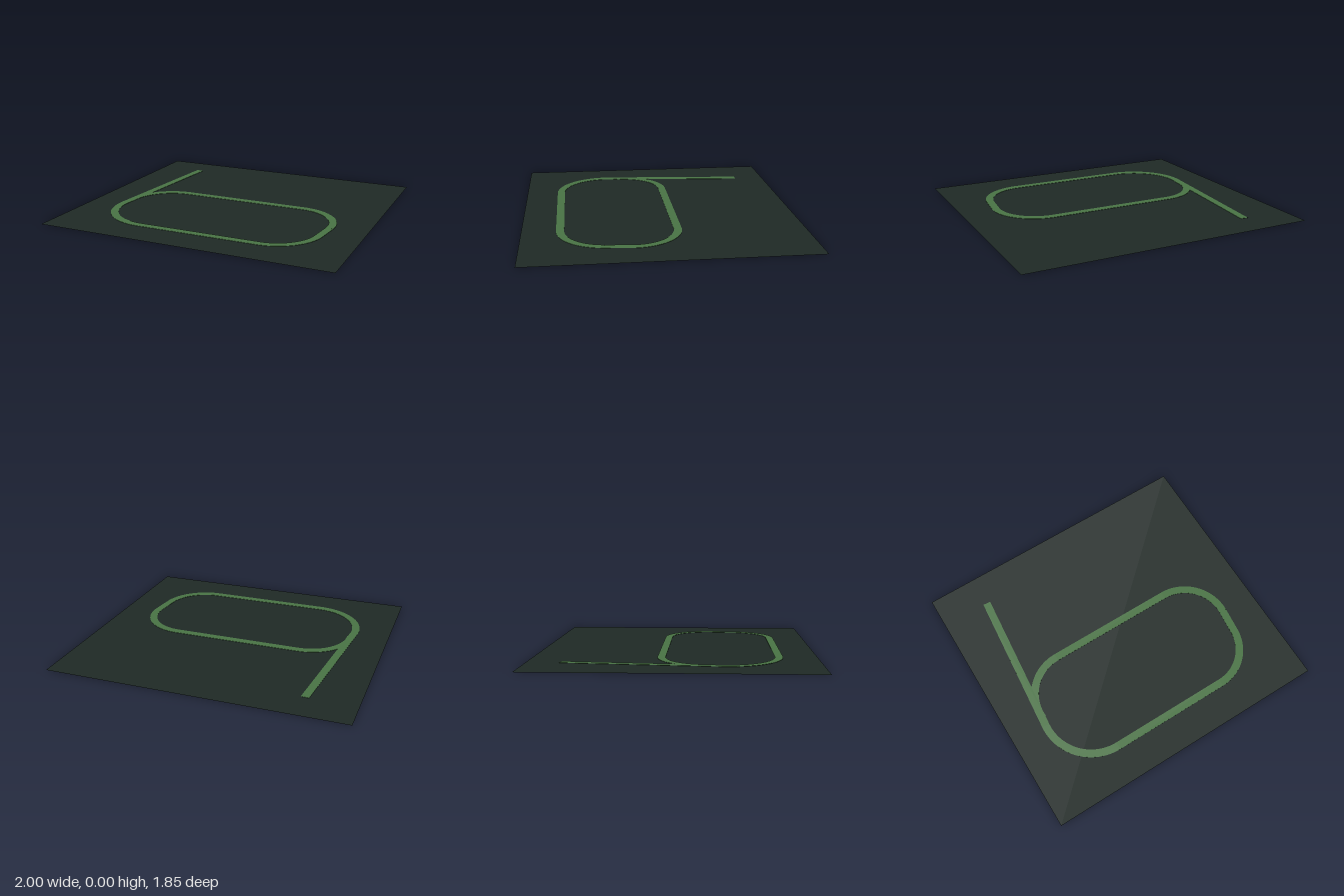
import * as THREE from 'three';

const HALF_WIDTH = 0.0265, TOP = 0.003, THICKNESS = 0.002;
const TILT = THREE.MathUtils.degToRad(5);

// Thin flat slab from an outline drawn in (x, z)
function slab(name, shape, material) {
  const geometry = new THREE.ExtrudeGeometry(shape, {
    depth: THICKNESS, bevelEnabled: false, curveSegments: 32,
  });
  geometry.rotateX(Math.PI / 2).translate(0, TOP, 0);
  const mesh = new THREE.Mesh(geometry, material);
  mesh.name = name;
  return mesh;
}

// Straight strip between two centre-line points
function straight(x0, z0, x1, z1) {
  const dir = new THREE.Vector2(x1 - x0, z1 - z0).normalize();
  const nx = -dir.y * HALF_WIDTH, nz = dir.x * HALF_WIDTH;
  return new THREE.Shape([
    new THREE.Vector2(x0 + nx, z0 + nz), new THREE.Vector2(x0 - nx, z0 - nz),
    new THREE.Vector2(x1 - nx, z1 - nz), new THREE.Vector2(x1 + nx, z1 + nz),
  ]);
}

// Curved strip around a centre, angles running from +x towards +z
function bend(cx, cz, radius, from, to) {
  const shape = new THREE.Shape();
  shape.absarc(cx, cz, radius + HALF_WIDTH, from, to, false);
  shape.absarc(cx, cz, radius - HALF_WIDTH, to, from, true);
  shape.closePath();
  return shape;
}

// Point on a bend's centre line
const at = (cx, cz, r, a) => [cx + r * Math.cos(a), cz + r * Math.sin(a)];

export function createModel() {
  const group = new THREE.Group();
  group.name = 'trackLayout';
  const boardMaterial = new THREE.MeshStandardMaterial({ color: 0x1f2a26, side: THREE.DoubleSide });
  const trackMaterial = new THREE.MeshStandardMaterial({ color: 0x4a7545 });

  // Base board
  const board = new THREE.Mesh(new THREE.PlaneGeometry(2, 1.85).rotateX(-Math.PI / 2), boardMaterial);
  board.name = 'baseBoard';
  group.add(board);

  // Corner bends: centre x, centre z, radius, start and end angle
  const PI = Math.PI;
  const backRight = [0.45, 0.212, 0.3, -PI / 2, TILT];
  const frontRight = [0.433, 0.375, 0.3, TILT, PI / 2];
  const frontLeft = [-0.407, 0.327, 0.348, PI / 2, PI + TILT];
  const backLeft = [-0.445, 0.212, 0.3, PI - TILT, PI * 1.5];

  // Loop and the siding that leaves it towards the back
  const track = new THREE.Group();
  track.name = 'track';
  const parts = {
    backRightBend: bend(...backRight),
    frontRightBend: bend(...frontRight),
    frontLeftBend: bend(...frontLeft),
    backLeftBend: bend(...backLeft),
    backStraight: straight(-0.445, -0.088, 0.45, -0.088),
    frontStraight: straight(-0.407, 0.675, 0.433, 0.675),
    rightStraight: straight(...at(...backRight.slice(0, 3), TILT), ...at(...frontRight.slice(0, 3), TILT)),
    siding: straight(...at(...frontLeft.slice(0, 3), PI + TILT), -0.666, -0.708),
  };
  for (const [name, shape] of Object.entries(parts)) track.add(slab(name, shape, trackMaterial));
  group.add(track);
  return group;
}
